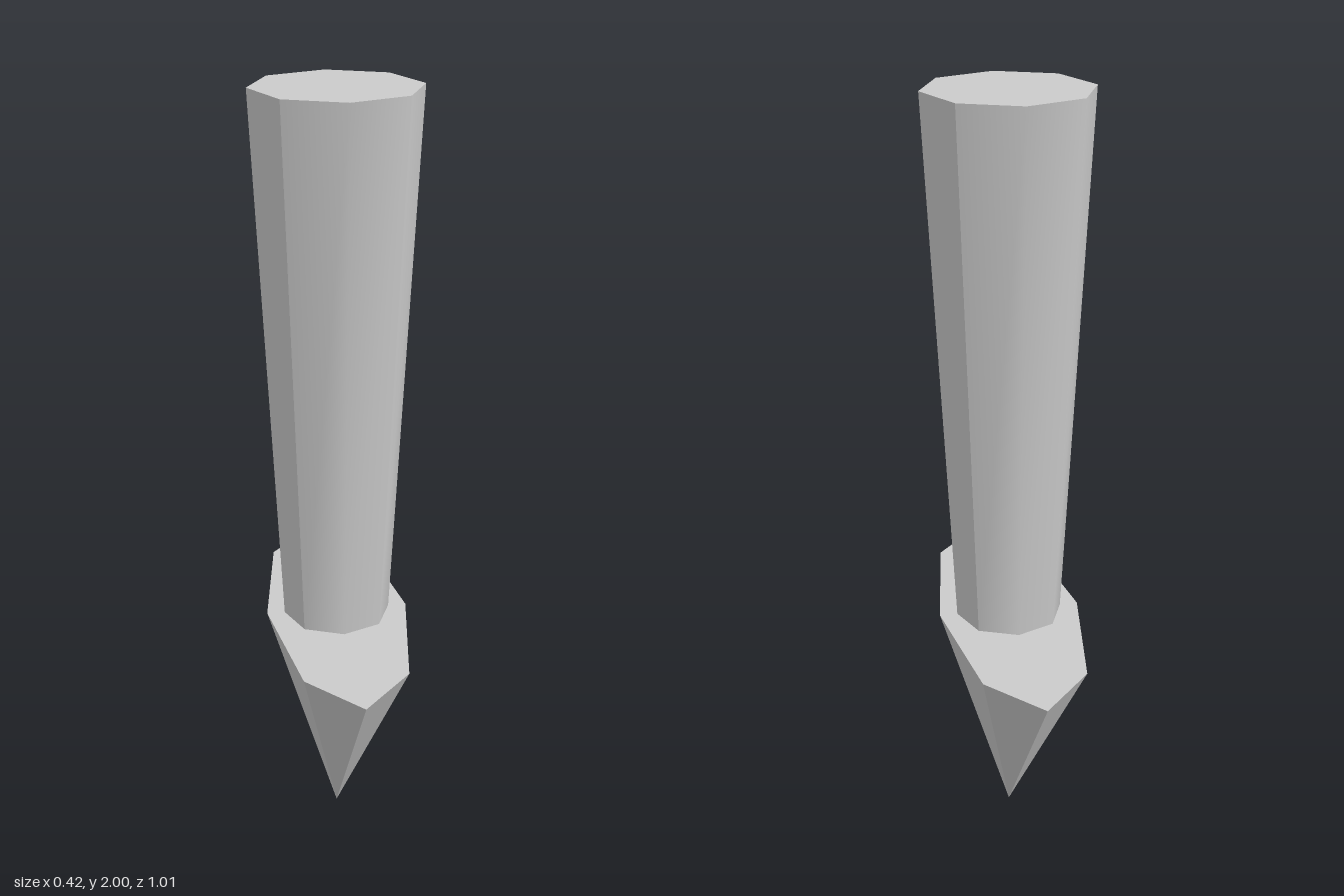
import * as THREE from 'three';
import { mergeGeometries } from 'three/addons/utils/BufferGeometryUtils.js';

export function createModel() {
  const model = new THREE.Group();
  model.name = 'arrow';
  const headTop = 0.615, top = 2;

  // Tapered eight-sided shaft: four softly rounded sides with sharp corners between
  const length = top - headTop;
  const sides = [];
  for (let i = 0; i < 4; i++) {
    const side = new THREE.CylinderGeometry(0.212, 0.14, length, 2, 1, true, -Math.PI / 4 + i * Math.PI / 2, Math.PI / 2);
    side.computeVertexNormals();
    side.translate(0, headTop + length / 2, 0);
    sides.push(side);
  }
  const cap = new THREE.CircleGeometry(0.212, 8);
  cap.rotateX(-Math.PI / 2);
  cap.translate(0, top, 0);
  const shaft = new THREE.Mesh(
    mergeGeometries([...sides, cap]),
    new THREE.MeshStandardMaterial({ color: 0xcccccc })
  );
  shaft.name = 'shaft';
  model.add(shaft);

  // Flattened eight-sided point, tip down
  const point = new THREE.ConeGeometry(1, headTop, 8, 1);
  point.rotateX(Math.PI);
  point.scale(0.187, 1, 0.505);
  point.translate(0, headTop / 2, 0);
  const head = new THREE.Mesh(
    point,
    new THREE.MeshStandardMaterial({ color: 0xcccccc, flatShading: true })
  );
  head.name = 'arrowHead';
  model.add(head);

  return model;
}
